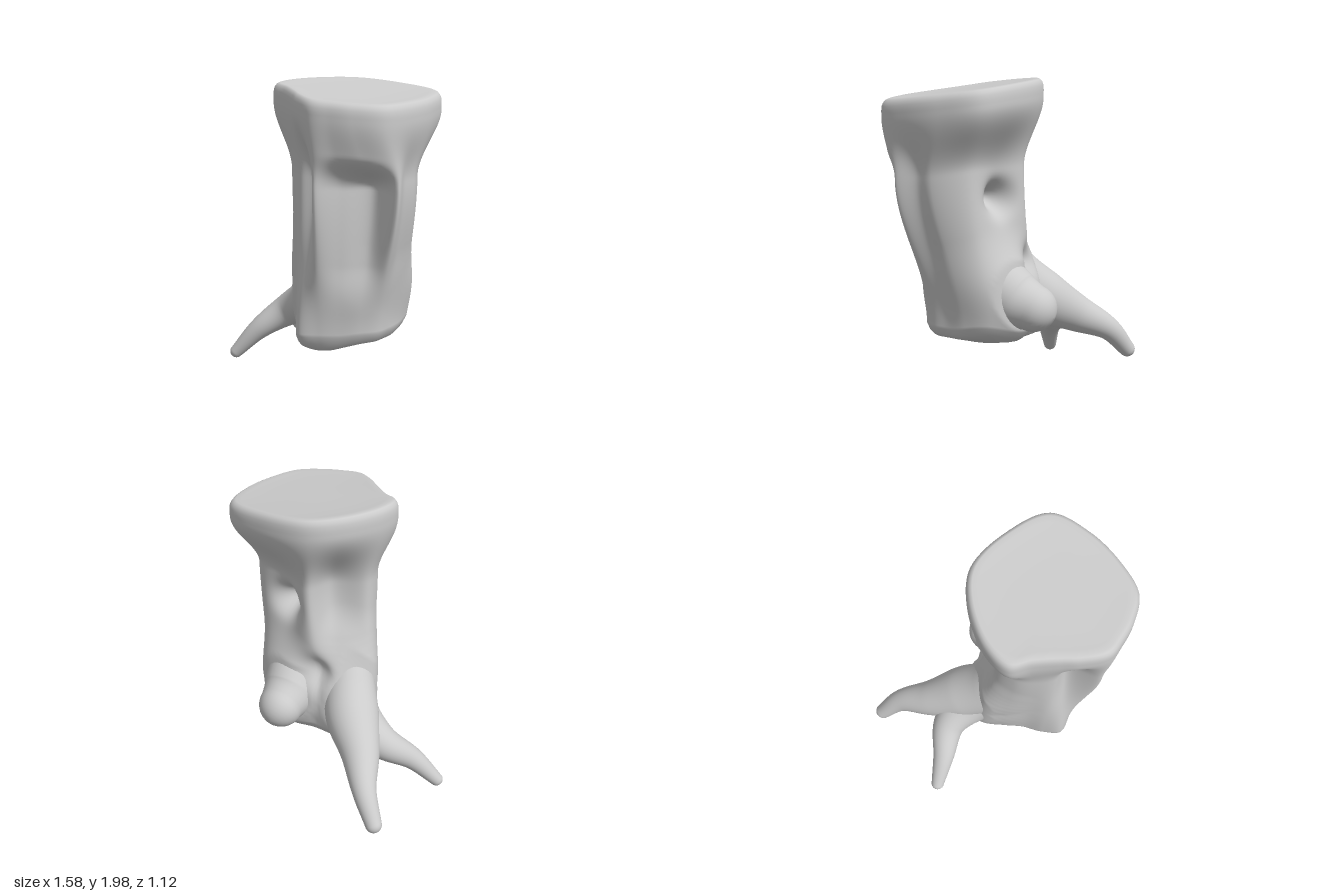
import * as THREE from 'three';

const material = new THREE.MeshStandardMaterial({ color: 0xcccccc, roughness: 0.9 });
const V = (x, y, z) => new THREE.Vector3(x, y, z);
const smooth = THREE.MathUtils.smoothstep;

// Skin a list of closed rings, each an equal-length array of points
function loft(name, rings) {
  const n = rings[0].length, index = [];
  for (let j = 0; j < rings.length - 1; j++) {
    for (let i = 0; i < n; i++) {
      const a = j * n + i, b = j * n + (i + 1) % n;
      index.push(a, b, a + n, b, b + n, a + n);
    }
  }
  const geometry = new THREE.BufferGeometry().setFromPoints(rings.flat());
  geometry.setIndex(index);
  geometry.computeVertexNormals();
  const mesh = new THREE.Mesh(geometry, material);
  mesh.name = name;
  return mesh;
}

// Limb centre lines: x, y, z, radius
const LIMBS = {
  backRoot: [[0.03, 0.98, 0.05, 0.11], [-0.06, 0.75, 0, 0.16], [-0.21, 0.55, -0.13, 0.18],
    [-0.42, 0.41, -0.27, 0.13], [-0.6, 0.29, -0.42, 0.08], [-0.74, 0.13, -0.48, 0.055]],
  frontRoot: [[0.08, 0.7, 0.02, 0.16], [-0.05, 0.56, -0.03, 0.19], [-0.22, 0.47, -0.08, 0.165],
    [-0.42, 0.37, -0.055, 0.115], [-0.575, 0.23, 0.085, 0.075], [-0.71, 0.055, 0.19, 0.045]],
  rootKnob: [[0.3, 0.8, -0.02, 0.18], [0.26, 0.69, -0.17, 0.2],
    [0.21, 0.6, -0.3, 0.185], [0.18, 0.56, -0.41, 0.15]],
};

const limbPath = (points) => new THREE.CatmullRomCurve3(points.map(([x, y, z]) => V(x, y, z)));
const limbRadii = (points) => new THREE.CatmullRomCurve3(points.map((p) => V(p[3], 0, 0)));

// Spheres strung along the limbs, used to swell the trunk where they join
const JOINTS = Object.values(LIMBS).flatMap((points) => {
  const path = limbPath(points), radii = limbRadii(points);
  return Array.from({ length: 25 }, (_, i) => ({ c: path.getPoint(i / 24), r: radii.getPoint(i / 24).x }));
});
const BLEND = 0.2;

function swell(p) {
  const gap = Math.min(...JOINTS.map(({ c, r }) => p.distanceTo(c) - r));
  const h = THREE.MathUtils.clamp(BLEND - gap, 0, BLEND);
  return h * h / (4 * BLEND);
}

// Matching outlines (x, z) running left, front, right, back
const RIM = [[-0.22, 0.12], [-0.18, 0.31], [-0.05, 0.36], [0.1, 0.44], [0.2, 0.5],
  [0.37, 0.56], [0.5, 0.52], [0.62, 0.46], [0.76, 0.33], [0.79, 0.1],
  [0.75, -0.15], [0.62, -0.38], [0.3, -0.41], [0, -0.33], [-0.14, -0.16]];
const WAIST = [[-0.12, 0.1], [-0.08, 0.24], [0.02, 0.33], [0.13, 0.38], [0.24, 0.36],
  [0.38, 0.53], [0.52, 0.46], [0.66, 0.36], [0.77, 0.21], [0.71, 0.08],
  [0.7, -0.04], [0.55, -0.21], [0.3, -0.21], [0.08, -0.24], [0.05, -0.05]];
const BASE = [[-0.19, 0.06], [-0.1, 0.17], [0, 0.27], [0.08, 0.38], [0.18, 0.46],
  [0.3, 0.4], [0.4, 0.32], [0.49, 0.23], [0.55, 0.12], [0.54, 0],
  [0.52, -0.14], [0.44, -0.27], [0.22, -0.32], [0, -0.24], [-0.17, -0.15]];
// The waist with a deep pocket between its two front-left ridges
const HOLLOW = WAIST.map((p, i) => ({ 6: [0.45, 0.35], 7: [0.55, 0.18] }[i] ?? p));

const outline = (pts) => {
  const curve = new THREE.CatmullRomCurve3(pts.map(([x, z]) => V(x, 0, z)), true);
  return Array.from({ length: 150 }, (_, i) => curve.getPoint(i / 150));
};

// Hollows pressed into the back: centre, radius, depth
const PITS = [
  { at: V(0.29, 1.25, -0.22), r: 0.09, depth: 0.16 },
  { at: V(0.04, 0.82, -0.24), r: 0.1, depth: 0.1 },
];

function makeTrunk() {
  const [rim, waist, base, hollow] = [RIM, WAIST, BASE, HOLLOW].map(outline);
  // t is the height fraction, s shrinks the ring towards its middle
  const ring = (t, s, dip = 0) => rim.map((_, i) => {
    const h = 0.3 + t * 1.65;
    const p = waist[i].clone()
      .lerp(hollow[i], smooth(h, 0.5, 0.85) * (1 - smooth(h, 1.36, 1.6)))
      .lerp(base[i], 1 - smooth(h, 0.35, 1.42))
      .lerp(rim[i], smooth(h, 1.42, 1.83));
    const mid = V(0.2, 0, 0.06).lerp(V(0.29, 0, 0.06), t);
    const out = p.clone().sub(mid).normalize();
    p.sub(mid).multiplyScalar(s).add(mid);
    // The cut top tilts down to the right and front; the underside rises at its edges
    const top = 1.995 - 0.12 * (p.x + 0.2) - 0.07 * p.z;
    const bottom = 0.28 + 0.07 * smooth(p.x, 0.2, 0.52)
      + 0.05 * smooth(-p.z, 0, 0.35) + 0.05 * smooth(p.z, 0.28, 0.47);
    p.y = bottom + t * (top - bottom) - dip;
    for (const { at, r, depth } of PITS) {
      p.z += depth * Math.exp(-p.distanceToSquared(at) / (r * r));
    }
    return p.addScaledVector(out, s * swell(p));
  });
  const rings = [ring(0, 0), ring(0, 0.4), ring(0, 0.75), ring(0.005, 0.88), ring(0.02, 0.95)];
  for (let j = 0; j <= 80; j++) rings.push(ring(0.045 + 0.91 * j / 80, 1));
  rings.push(ring(0.972, 0.995), ring(0.985, 0.98), ring(0.995, 0.955), ring(1, 0.92),
    ring(1, 0.85, 0.004), ring(1, 0.6, 0.008), ring(1, 0.3, 0.008), ring(1, 0, 0.008));
  return loft('trunk', rings);
}

// Tapered limb along its centre line with a domed tip
function makeLimb(name, points) {
  const curve = limbPath(points), radii = limbRadii(points);
  const steps = 40, frames = curve.computeFrenetFrames(steps, false);
  const ring = (k, r, push = 0) => Array.from({ length: 32 }, (_, i) => {
    const a = i / 32 * Math.PI * 2;
    return curve.getPointAt(k / steps)
      .addScaledVector(frames.normals[k], Math.cos(a) * r)
      .addScaledVector(frames.binormals[k], Math.sin(a) * r)
      .addScaledVector(frames.tangents[k], push);
  });
  const rings = [];
  for (let k = 0; k <= steps; k++) {
    rings.push(ring(k, radii.getPoint(curve.getUtoTmapping(k / steps)).x));
  }
  const tip = points[points.length - 1][3];
  for (let k = 1; k <= 8; k++) {
    const a = k / 8 * Math.PI / 2;
    rings.push(ring(steps, tip * Math.cos(a), tip * Math.sin(a)));
  }
  return loft(name, rings);
}

export function createModel() {
  const group = new THREE.Group();
  group.name = 'treeStump';
  group.add(makeTrunk());
  for (const [name, points] of Object.entries(LIMBS)) group.add(makeLimb(name, points));
  return group;
}
